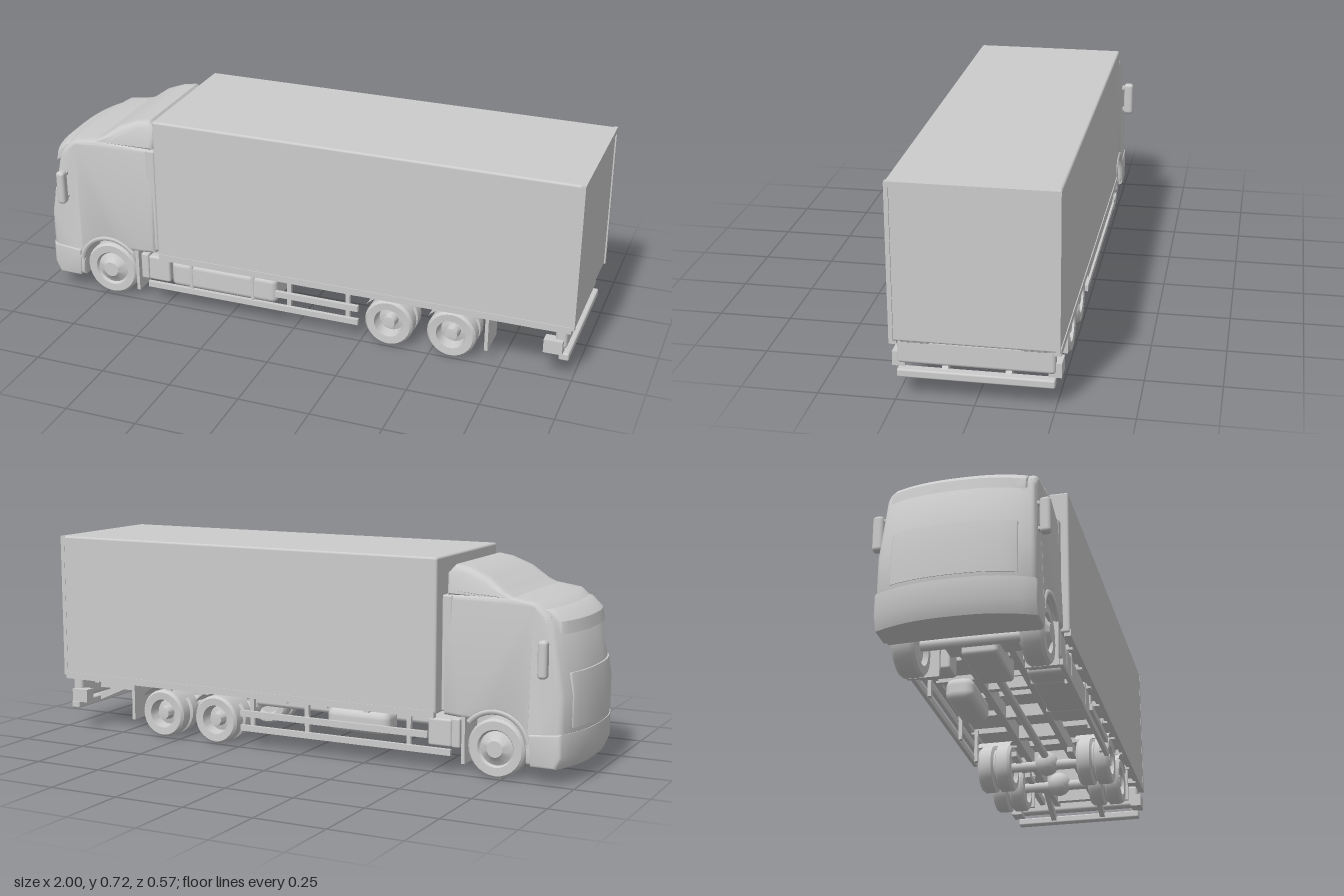
import * as THREE from 'three';
import { toCreasedNormals } from 'three/addons/utils/BufferGeometryUtils.js';
import { RoundedBoxGeometry } from 'three/addons/geometries/RoundedBoxGeometry.js';

const grey = new THREE.MeshStandardMaterial({ color: 0xcccccc, side: THREE.DoubleSide });
const clamp = THREE.MathUtils.clamp;

export function createModel() {
  const truck = new THREE.Group();

  const add = (name, geo, parent = truck) => {
    const mesh = new THREE.Mesh(geo, grey);
    mesh.name = name;
    parent.add(mesh);
    return mesh;
  };

  // Box given by its min and max limits on each axis
  const box = (name, x0, x1, y0, y1, z0, z1, r = 0) => {
    const s = [x1 - x0, y1 - y0, z1 - z0];
    const geo = r ? new RoundedBoxGeometry(...s, 3, r) : new THREE.BoxGeometry(...s);
    geo.translate((x0 + x1) / 2, (y0 + y1) / 2, (z0 + z1) / 2);
    return add(name, geo);
  };

  // The same box on both sides of the truck
  const pair = (name, x0, x1, y0, y1, z0, z1, r = 0) => {
    box(name + 'Left', x0, x1, y0, y1, z0, z1, r);
    box(name + 'Right', x0, x1, y0, y1, -z1, -z0, r);
  };

  // Side profile swept across z, nose bowed in plan and sides leaning in upwards
  const sweep = (name, shape, halfWidth, bevel, rule) => {
    const geo = new THREE.ExtrudeGeometry(shape, {
      depth: 2 * (halfWidth - bevel), steps: 14, curveSegments: 12,
      bevelThickness: bevel, bevelSize: bevel, bevelOffset: -bevel, bevelSegments: 3,
    });
    geo.translate(0, 0, bevel - halfWidth);
    const p = geo.attributes.position;
    for (let i = 0; i < p.count; i++) {
      const x = p.getX(i), y = p.getY(i), z = p.getZ(i);
      const nose = clamp((-0.82 - x) / 0.12, 0, 1);
      p.setX(i, x + 0.05 * nose * Math.pow(Math.abs(z) / 0.25, 2.5));
      p.setZ(i, z * (1 - 0.05 * clamp((y - 0.28) / 0.3, 0, 1)));
      if (rule) rule(p, i, x, y, z);
    }
    return add(name, toCreasedNormals(geo, 0.6));
  };
  const outline = (pts) => new THREE.Shape(pts.map(([x, y]) => new THREE.Vector2(x, y)));

  // Cargo body with edge frames
  box('cargoBody', -0.52, 0.995, 0.2, 0.724, -0.265, 0.265, 0.008);
  pair('bodySill', -0.515, 0.99, 0.188, 0.212, 0.245, 0.268);
  box('rearDoorHeader', 0.985, 1.0, 0.705, 0.724, -0.265, 0.265);
  pair('rearDoorPost', 0.985, 1.0, 0.2, 0.72, 0.252, 0.266);

  // Cab shell with wheel arch
  const cab = new THREE.Shape();
  cab.moveTo(-0.975, 0.06);
  cab.lineTo(-0.84, 0.06);
  cab.lineTo(-0.835, 0.13);
  cab.absarc(-0.725, 0.11, 0.115, Math.PI * 0.95, 0.8, true);
  [[-0.6, 0.195], [-0.54, 0.2], [-0.535, 0.6], [-0.76, 0.605], [-0.87, 0.592], [-0.93, 0.56],
    [-0.955, 0.53], [-0.985, 0.38], [-1.0, 0.3], [-1.0, 0.1]].forEach(([x, y]) => cab.lineTo(x, y));
  sweep('cab', cab, 0.25, 0.014);

  // Roof air deflector, narrowing upwards
  sweep('roofDeflector', outline([[-0.79, 0.595], [-0.54, 0.595], [-0.535, 0.67], [-0.56, 0.698],
    [-0.61, 0.69], [-0.68, 0.662], [-0.74, 0.618]]), 0.245, 0.02, (p, i, x, y) => {
    p.setZ(i, p.getZ(i) * (1 - 0.1 * clamp((y - 0.6) / 0.1, 0, 1)));
  });

  // Sun visor, grille panel and bumper follow the bowed nose
  sweep('sunVisor', outline([[-0.975, 0.495], [-0.968, 0.535], [-0.93, 0.568], [-0.905, 0.572],
    [-0.93, 0.53]]), 0.225, 0.004);
  sweep('grillePanel', outline([[-1.002, 0.19], [-0.97, 0.19], [-0.97, 0.37], [-0.993, 0.37],
    [-1.003, 0.3]]), 0.2, 0.004);
  sweep('bumper', outline([[-0.985, 0.058], [-0.87, 0.058], [-0.86, 0.165], [-1.003, 0.175],
    [-1.004, 0.1]]), 0.254, 0.008);
  box('cabFloor', -0.95, -0.56, 0.13, 0.22, -0.12, 0.12);

  // Parts repeated on both sides of the cab
  for (const s of [1, -1]) {
    const side = s > 0 ? 'Left' : 'Right';
    const mirror = add('mirror' + side, new RoundedBoxGeometry(0.032, 0.125, 0.036, 3, 0.012));
    mirror.position.set(-0.893, 0.418, s * 0.268);
    for (const y of [0.375, 0.465]) {
      const arm = add('mirrorArm' + side, new THREE.BoxGeometry(0.02, 0.01, 0.05));
      arm.position.set(-0.89, y, s * 0.245);
    }
    const lip = add('wheelArch' + side, new THREE.TorusGeometry(0.118, 0.01, 6, 20, Math.PI * 0.72));
    lip.position.set(-0.725, 0.11, s * 0.246);
    lip.rotation.z = Math.PI * 0.22;
    const window = add('sideWindow' + side, new THREE.ExtrudeGeometry(outline([[-0.93, 0.37],
      [-0.68, 0.4], [-0.68, 0.55], [-0.9, 0.55]]), { depth: 0.003, bevelEnabled: false }));
    window.position.z = s * 0.239 - 0.0015;
    window.rotation.x = -s * 0.03;
  }
  pair('cabSideFlap', -0.565, -0.53, 0.21, 0.6, 0.225, 0.241, 0.006);
  pair('frontMudflap', -0.62, -0.608, 0.04, 0.2, 0.14, 0.248);
  pair('cabStep', -0.6, -0.57, 0.09, 0.19, 0.16, 0.245, 0.006);

  // Ladder chassis
  pair('chassisRail', -0.9, 0.95, 0.135, 0.19, 0.07, 0.092);
  for (const x of [-0.5, -0.25, 0.0, 0.2, 0.46, 0.7, 0.9])
    box('crossMember', x - 0.012, x + 0.012, 0.14, 0.185, -0.08, 0.08);
  for (let x = -0.42; x < 0.95; x += 0.16)
    box('floorBearer', x - 0.01, x + 0.01, 0.18, 0.203, -0.255, 0.255);
  box('gearbox', -0.66, -0.42, 0.085, 0.18, -0.06, 0.06, 0.015);
  const shaft = add('driveShaft', new THREE.CylinderGeometry(0.014, 0.014, 0.8, 10));
  shaft.rotation.z = Math.PI / 2;
  shaft.position.set(-0.05, 0.115, 0);

  // Tanks, side lockers and side guards
  box('fuelTank', -0.48, -0.07, 0.08, 0.178, 0.11, 0.245, 0.02);
  for (const x of [-0.4, -0.16]) box('tankStrap', x - 0.008, x + 0.008, 0.077, 0.181, 0.108, 0.248, 0.01);
  box('airTank', -0.32, -0.08, 0.09, 0.175, -0.21, -0.11, 0.03);
  pair('sideLocker', -0.57, -0.485, 0.09, 0.185, 0.12, 0.245, 0.008);
  pair('lowerSideGuard', -0.57, 0.24, 0.063, 0.084, 0.238, 0.252);
  box('upperSideGuardLeft', -0.07, 0.24, 0.115, 0.137, 0.238, 0.252);
  box('upperSideGuardRight', -0.485, 0.24, 0.115, 0.137, -0.252, -0.238);
  for (const x of [-0.42, -0.03, 0.19]) pair('sideGuardBracket', x, x + 0.016, 0.065, 0.19, 0.226, 0.239);

  // Wheels: lathe profile from inner face, over the tyre, into the hub
  const wheel = (name, x, r, inner, outer, s, dual) => {
    const w = outer - inner, m = inner + w / 2, k = r - 0.008;
    const tread = dual
      ? [[r, inner + 0.012], [r, m - 0.01], [k - 0.006, m - 0.003], [k - 0.006, m + 0.003], [r, m + 0.01], [r, outer - 0.012]]
      : [[r, inner + 0.012], [r, outer - 0.012]];
    const rim = dual
      ? [[r * 0.6, outer - 0.004], [r * 0.52, outer - 0.045], [r * 0.3, outer - 0.04], [r * 0.25, outer - 0.008], [0, outer - 0.006]]
      : [[r * 0.64, outer - 0.003], [r * 0.58, outer - 0.014], [r * 0.35, outer - 0.002], [r * 0.28, outer + 0.006], [0, outer + 0.006]];
    const pts = [[0, inner + 0.02], [r * 0.55, inner + 0.015], [r * 0.65, inner], [k, inner + 0.002],
      ...tread, [k, outer - 0.002], ...rim].map(([a, b]) => new THREE.Vector2(a, b));
    const geo = toCreasedNormals(new THREE.LatheGeometry(pts, 28).rotateX(Math.PI / 2), 0.6);
    const mesh = add(name, geo);
    mesh.position.set(x, r + 0.002, 0);
    if (s < 0) mesh.rotation.y = Math.PI;
  };
  const axle = (x, y) => {
    const a = add('axle', new THREE.CylinderGeometry(0.018, 0.018, 0.34, 12));
    a.rotation.x = Math.PI / 2;
    a.position.set(x, y, 0);
  };
  for (const s of [1, -1]) wheel('frontWheel', -0.725, 0.1, 0.165, 0.242, s, false);
  axle(-0.725, 0.1);
  for (const x of [0.35, 0.575]) {
    for (const s of [1, -1]) wheel('rearWheel', x, 0.087, 0.123, 0.248, s, true);
    axle(x, 0.089);
    const diff = add('differential', new THREE.SphereGeometry(0.045, 14, 10));
    diff.position.set(x, 0.095, 0);
    // Mudguard over each rear wheel
    for (const s of [1, -1]) {
      const guard = add('rearMudguard', new THREE.CylinderGeometry(0.1, 0.1, 0.125, 14, 1, true, Math.PI * 0.7, Math.PI * 0.6));
      guard.rotation.x = Math.PI / 2;
      guard.position.set(x, 0.09, s * 0.185);
    }
    pair('leafSpring', x - 0.09, x + 0.09, 0.1, 0.118, 0.095, 0.115);
  }
  pair('rearMudflap', 0.695, 0.707, 0.055, 0.19, 0.125, 0.248);

  // Rear end: bumper, lights and underrun bar
  box('rearBumper', 0.935, 0.975, 0.115, 0.2, -0.248, 0.248, 0.012);
  pair('rearLight', 0.95, 0.99, 0.195, 0.222, 0.14, 0.235, 0.006);
  pair('bumperEnd', 0.9, 0.965, 0.102, 0.15, 0.225, 0.266);
  box('underrunBar', 0.95, 0.985, 0.072, 0.1, -0.248, 0.248, 0.006);
  for (const s of [1, -1]) {
    const arm = add('underrunArm', new THREE.BoxGeometry(0.2, 0.024, 0.02));
    arm.position.set(0.88, 0.125, s * 0.1);
    arm.rotation.z = -0.42;
  }
  pair('tailLiftArm', 0.72, 0.92, 0.14, 0.165, 0.13, 0.15);

  return truck;
}
